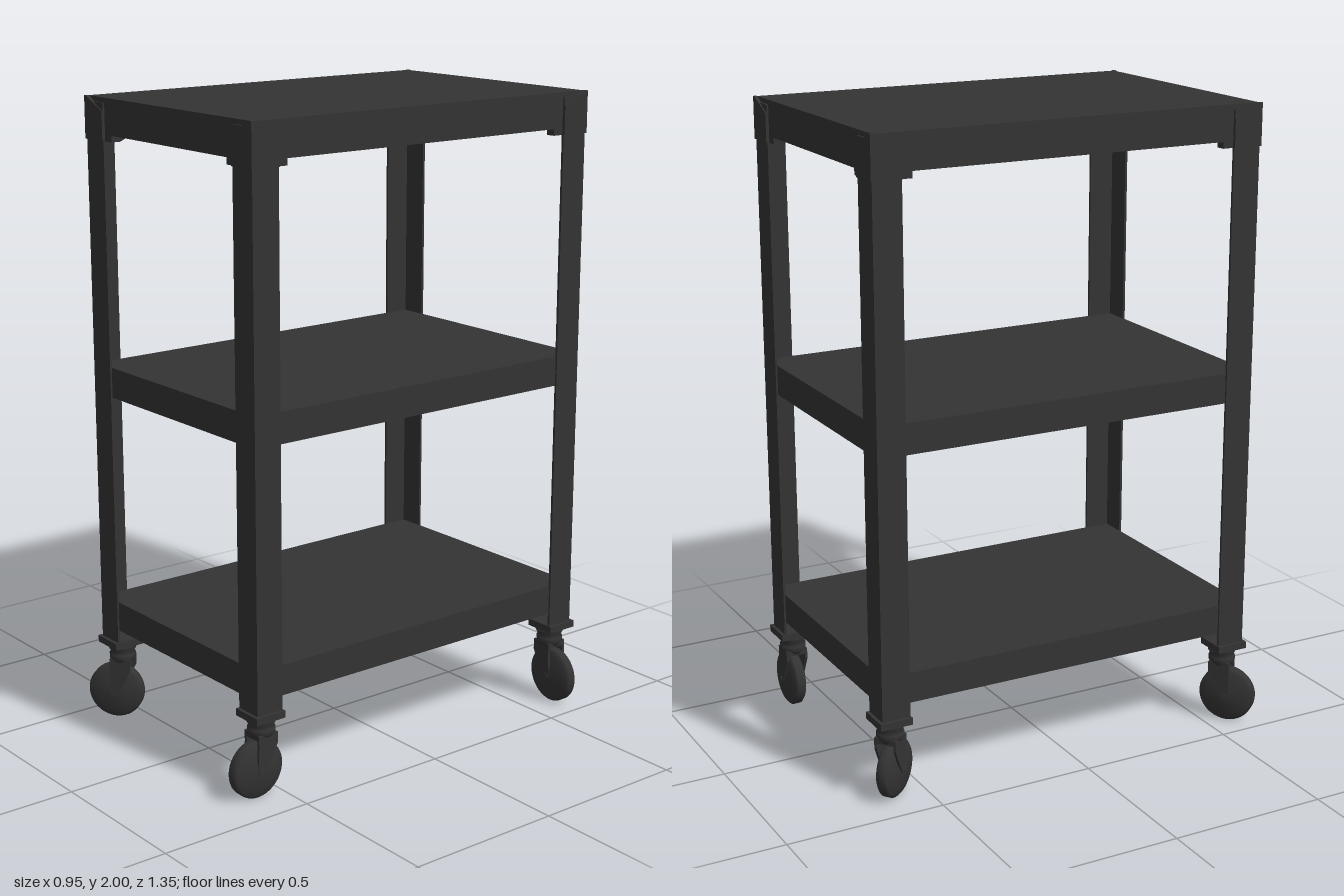
import * as THREE from 'three';

const mat = new THREE.MeshStandardMaterial({ color: 0x333333 });
const CX = -0.009, CZ = -0.025;   // frame centre
const HX = 0.423, HZ = 0.639;     // half size over the corner caps
const LEG = 0.095;                // width of a leg flange

function add(parent, name, geometry, x = 0, y = 0, z = 0) {
  const mesh = new THREE.Mesh(geometry, mat);
  mesh.name = name;
  mesh.position.set(x, y, z);
  parent.add(mesh);
  return mesh;
}

const box = (w, h, d) => new THREE.BoxGeometry(w, h, d);

// Plate drawn in the x-y plane
function plate(points, depth) {
  const shape = new THREE.Shape(points.map(p => new THREE.Vector2(...p)));
  return new THREE.ExtrudeGeometry(shape, { depth, bevelEnabled: false });
}

// Tray turned upside down: top sheet, four sides and inward lips
function shelf(name, bottom, top) {
  const g = new THREE.Group();
  g.name = name;
  g.position.set(CX, 0, CZ);
  const hx = HX - 0.01, hz = HZ - 0.01, t = 0.01, lip = 0.03;
  const h = top - bottom, mid = (top + bottom) / 2;
  add(g, 'shelfTop', box(2 * hx, t, 2 * hz), 0, top - t / 2, 0);
  for (const s of [-1, 1]) {
    add(g, 'shelfSide', box(t, h, 2 * hz), s * (hx - t / 2), mid, 0);
    add(g, 'shelfEnd', box(2 * hx, h, t), 0, mid, s * (hz - t / 2));
    add(g, 'sideLip', box(lip, t, 2 * hz), s * (hx - lip / 2), bottom + t / 2, 0);
    add(g, 'endLip', box(2 * hx, t, lip), 0, bottom + t / 2, s * (hz - lip / 2));
  }
  return g;
}

// Angle-section leg with its outer corner at the origin, flanges along +x and +z
function leg() {
  const g = new THREE.Group();
  g.name = 'leg';
  const y0 = 0.27, h = 1.985 - y0, o = 0.004, t = 0.008, w = LEG - o;
  add(g, 'legFlange', box(w, h, t), o + w / 2, y0 + h / 2, o + t / 2);
  add(g, 'legFlange', box(t, h, w), o + t / 2, y0 + h / 2, o + w / 2);

  // Corner cap with sloping upper edges
  const cap = plate([[0, 1.87], [LEG, 1.87], [LEG, 1.96], [0.01, 2], [0, 2]], 0.01);
  add(g, 'cornerCap', cap);
  add(g, 'cornerCap', cap.clone().rotateY(-Math.PI / 2), 0.01);

  // Brace under the top tray
  const brace = plate([[0.01, 0.01], [0.13, 0.01], [0.13, 0.04], [0.04, 0.13], [0.01, 0.13]], 0.025);
  brace.rotateX(Math.PI / 2);
  add(g, 'cornerBrace', brace, 0, 1.895, 0);

  // Foot plate
  add(g, 'footPlate', box(0.104, 0.022, 0.104), 0.046, 0.262, 0.046);
  return g;
}

// Swivel caster; the wheel trails along local +x
function caster() {
  const g = new THREE.Group();
  g.name = 'caster';
  const trail = 0.022, R = 0.09;
  const collar = [[0, 0.19], [0.034, 0.19], [0.042, 0.205], [0.042, 0.22], [0.036, 0.225], [0.045, 0.24], [0.045, 0.255], [0, 0.255]];
  add(g, 'swivelCollar', new THREE.LatheGeometry(collar.map(p => new THREE.Vector2(...p)), 24));

  // Wheel, domed towards its hub
  const half = [[0, 0.034], [0.025, 0.032], [0.06, 0.024], [0.082, 0.018], [R, 0.011]];
  const profile = [
    ...half.map(([r, y]) => new THREE.Vector2(r, -y)),
    ...half.slice().reverse().map(([r, y]) => new THREE.Vector2(r, y)),
  ];
  const wheel = new THREE.LatheGeometry(profile, 40).rotateX(Math.PI / 2);
  add(g, 'wheel', wheel, trail, R, 0);

  // Fork arms reaching down to the axle
  const arm = plate([[-0.034, 0.205], [0.034, 0.205], [0.034, 0.17], [trail + 0.016, 0.085],
    [trail, 0.075], [trail - 0.016, 0.085], [-0.034, 0.17]], 0.008);
  for (const s of [-1, 1]) add(g, 'forkArm', arm, 0, 0, s * 0.032 - 0.004);
  add(g, 'forkCrown', box(0.068, 0.016, 0.07), 0, 0.195, 0);
  const axle = new THREE.CylinderGeometry(0.009, 0.009, 0.078, 12).rotateX(Math.PI / 2);
  add(g, 'axle', axle, trail, R, 0);
  return g;
}

export function createModel() {
  const model = new THREE.Group();
  model.name = 'shelfTrolley';
  model.add(
    shelf('topShelf', 1.89, 2),
    shelf('middleShelf', 1.08, 1.175),
    shelf('bottomShelf', 0.315, 0.41),
  );

  // side x, side z, leg turn, direction of the wheel in x and z
  const corners = [
    [-1, -1, 0, 0.6, 0.8],
    [-1, 1, Math.PI / 2, -0.77, 0.64],
    [1, 1, Math.PI, 0, 1],
    [1, -1, -Math.PI / 2, 1, 0],
  ];
  for (const [sx, sz, turn, dx, dz] of corners) {
    const l = leg();
    l.position.set(CX + sx * HX, 0, CZ + sz * HZ);
    l.rotation.y = turn;
    const c = caster();
    c.position.set(CX + sx * (HX - 0.049), 0, CZ + sz * (HZ - 0.049));
    c.rotation.y = Math.atan2(-dz, dx);
    model.add(l, c);
  }
  return model;
}
